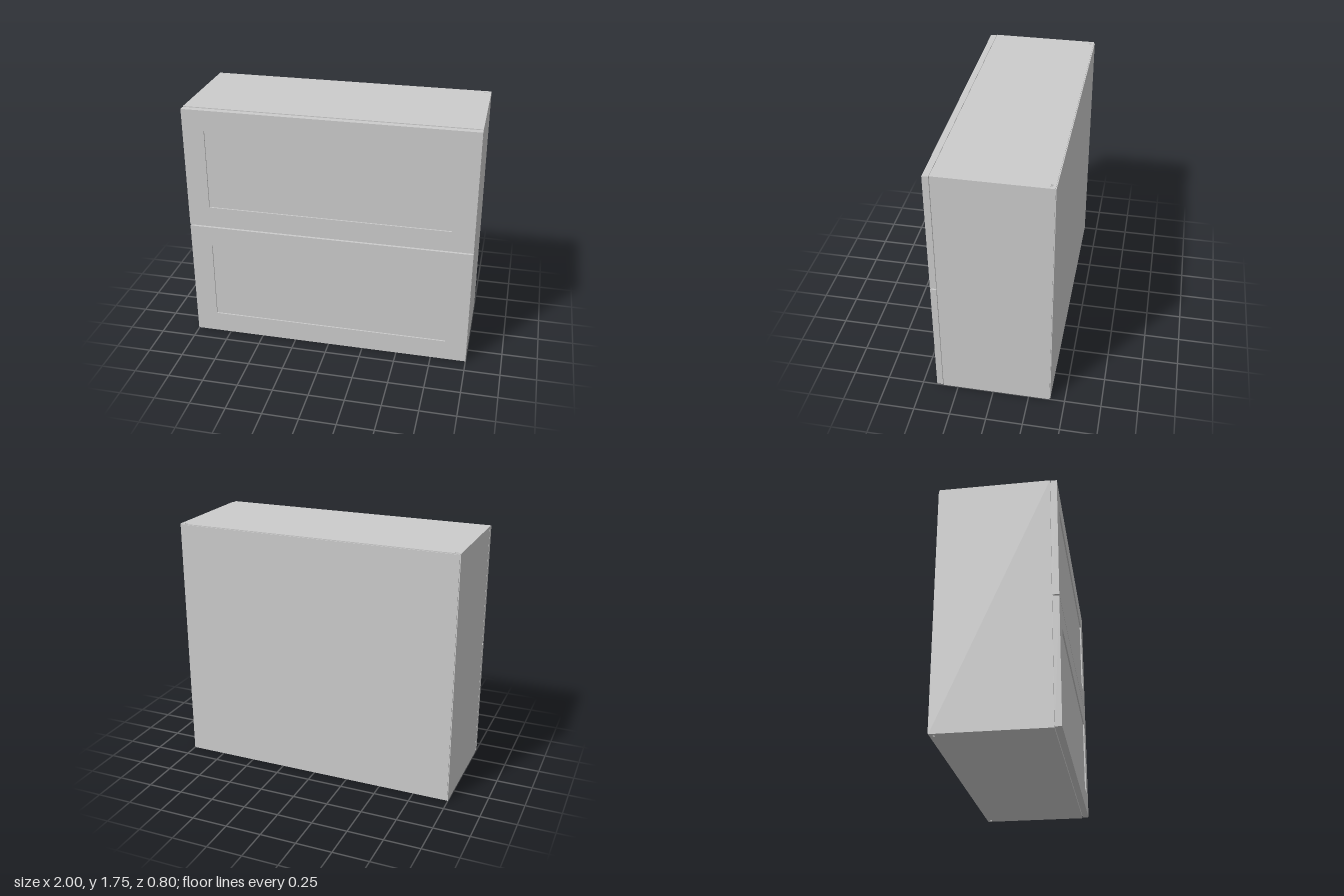
import * as THREE from 'three';

const grey = new THREE.MeshStandardMaterial({ color: 0xcccccc, flatShading: true });

// Carcass and door dimensions
const W = 2, H = 1.75, BACK = -0.394, FRONT = 0.354, DOOR_BACK = 0.358, DOOR_FRONT = 0.4;
const SIDE = 0.02, SLAB = 0.036, INSET = 0.006;

function add(group, name, geometry) {
  const mesh = new THREE.Mesh(geometry, grey);
  mesh.name = name;
  group.add(mesh);
  return mesh;
}

// Box given by its lower and upper corners
function box(group, name, [x0, y0, z0], [x1, y1, z1]) {
  const mesh = add(group, name, new THREE.BoxGeometry(x1 - x0, y1 - y0, z1 - z0));
  mesh.position.set((x0 + x1) / 2, (y0 + y1) / 2, (z0 + z1) / 2);
  return mesh;
}

function rect(target, x0, y0, x1, y1) {
  target.moveTo(x0, y0);
  target.lineTo(x1, y0);
  target.lineTo(x1, y1);
  target.lineTo(x0, y1);
  target.closePath();
  return target;
}

// Horizontal panel with two small hanger slots near the back corners
function slottedSlab(group, name, y) {
  const half = W / 2 - SIDE;
  const shape = rect(new THREE.Shape(), -half, -FRONT, half, -BACK);
  for (const s of [-1, 1]) {
    shape.holes.push(rect(new THREE.Path(), s * 0.965 - 0.011, 0.363, s * 0.965 + 0.011, 0.377));
  }
  const geometry = new THREE.ExtrudeGeometry(shape, { depth: SLAB, bevelEnabled: false });
  geometry.rotateX(-Math.PI / 2);
  add(group, name, geometry).position.y = y;
}

// Shaker door: a frame around a slightly recessed panel
function door(name, y0, y1, p0, p1) {
  const group = new THREE.Group();
  group.name = name;
  const px = 0.848;
  const shape = rect(new THREE.Shape(), -W / 2, y0, W / 2, y1);
  shape.holes.push(rect(new THREE.Path(), -px, p0, px, p1));
  const frame = new THREE.ExtrudeGeometry(shape, { depth: DOOR_FRONT - DOOR_BACK, bevelEnabled: false });
  add(group, 'doorFrame', frame).position.z = DOOR_BACK;
  box(group, 'doorPanel', [-px, p0, DOOR_BACK], [px, p1, DOOR_FRONT - 0.01]);
  return group;
}

export function createModel() {
  const model = new THREE.Group();
  model.name = 'wallCabinet';

  // Carcass
  const carcass = new THREE.Group();
  carcass.name = 'carcass';
  for (const s of [-1, 1]) {
    const a = s * W / 2, b = s * (W / 2 - SIDE);
    box(carcass, s > 0 ? 'leftSide' : 'rightSide', [Math.min(a, b), 0, BACK], [Math.max(a, b), H, FRONT]);
  }
  slottedSlab(carcass, 'topPanel', H - SLAB);
  slottedSlab(carcass, 'bottomPanel', 0);
  box(carcass, 'shelf', [-W / 2 + SIDE, 0.86, -0.34], [W / 2 - SIDE, 0.895, FRONT]);

  // Back board, stepped in a little from the carcass edges
  box(carcass, 'backBoard', [-W / 2 + INSET, INSET, -0.4], [W / 2 - INSET, H - INSET, BACK]);

  // Recessed seal behind the doors
  box(carcass, 'doorSeal', [-W / 2 + 0.012, 0.015, FRONT], [W / 2 - 0.012, H - 0.015, DOOR_BACK]);
  model.add(carcass);

  // Two lift-up doors with a narrow gap between them
  model.add(door('lowerDoor', 0.006, 0.872, 0.155, 0.725));
  model.add(door('upperDoor', 0.882, 1.746, 1.03, 1.602));
  return model;
}
